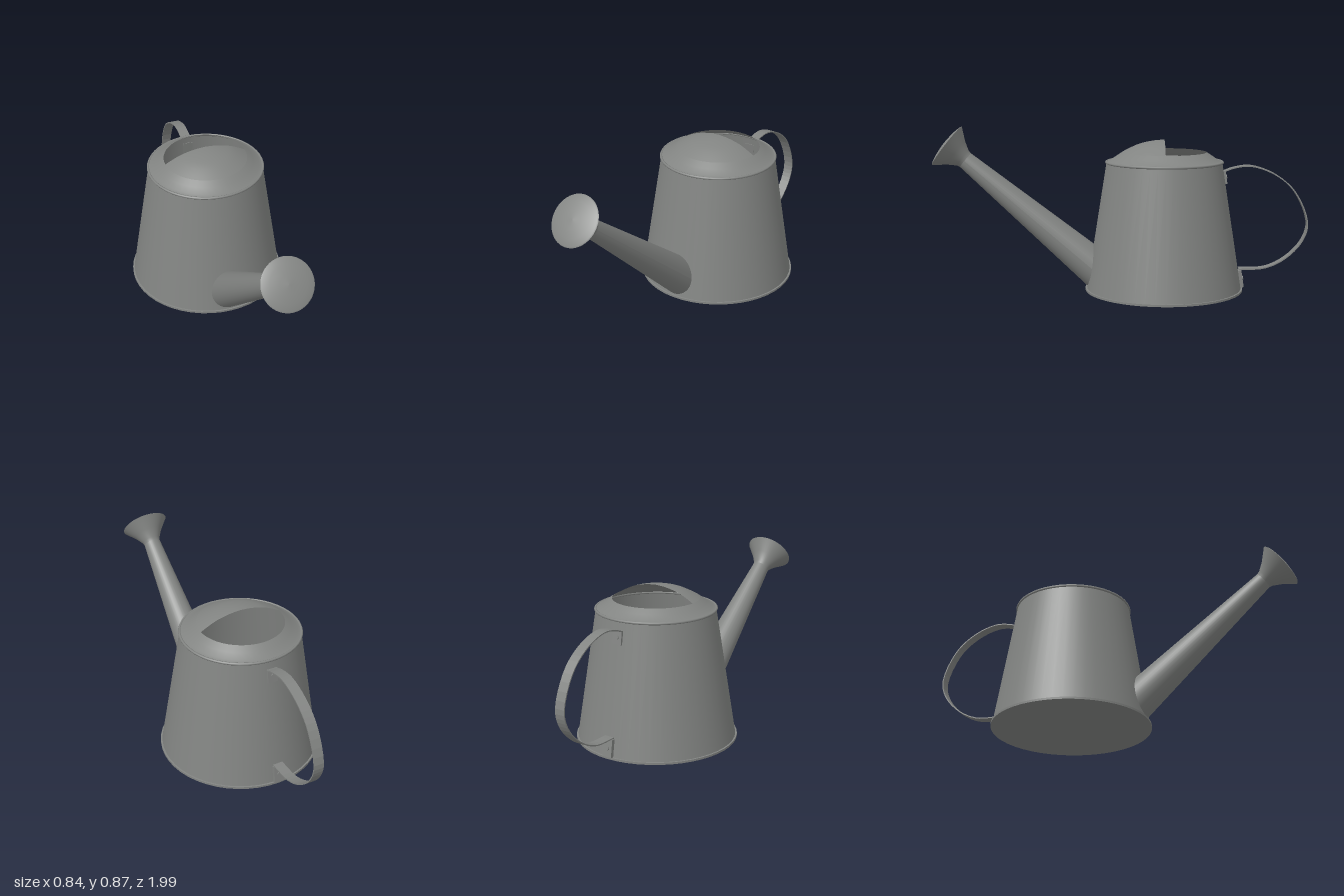
import * as THREE from 'three';

const V2 = (x, y) => new THREE.Vector2(x, y);
const V3 = (x, y, z) => new THREE.Vector3(x, y, z);
const CENTER_Z = -0.235;
const SEG = 48;
// outer radius of the tapered wall at a given height
const wallRadius = (y) => 0.412 - 0.157 * y;
const wallTilt = Math.atan(0.157);

export function createModel() {
  const group = new THREE.Group();
  const metal = new THREE.MeshStandardMaterial({ color: 0x828482, side: THREE.DoubleSide });
  metal.name = 'grey metal';

  const add = (name, geometry, parent = group) => {
    const mesh = new THREE.Mesh(geometry, metal);
    mesh.name = name;
    parent.add(mesh);
    return mesh;
  };

  // tapered can
  const can = new THREE.Group();
  can.name = 'can';
  can.position.z = CENTER_Z;
  group.add(can);
  add('wall', new THREE.CylinderGeometry(wallRadius(0.68), wallRadius(0.005), 0.675, SEG, 1, true), can).position.y = 0.3425;
  add('baseRim', new THREE.CylinderGeometry(0.419, 0.419, 0.011, SEG), can).position.y = 0.0055;
  const rim = add('topRim', new THREE.TorusGeometry(0.306, 0.007, 8, SEG), can);
  rim.rotation.x = Math.PI / 2;
  rim.position.y = 0.682;

  // sloping collar all round, with a half dome over the front
  add('collar', new THREE.LatheGeometry(
    [V2(0.306, 0.685), V2(0.285, 0.692), V2(0.255, 0.713), V2(0.222, 0.735)], SEG), can);
  const dome = new THREE.SplineCurve(
    [V2(0.222, 0.735), V2(0.18, 0.757), V2(0.13, 0.778), V2(0.06, 0.794), V2(0, 0.799)]);
  add('frontDome', new THREE.LatheGeometry(dome.getPoints(12), SEG / 2, -Math.PI / 2, Math.PI), can);

  // spout: a tapered tube whose lower end is trimmed to the can wall
  const neck = V3(0, 0.695, 0.821);
  const root = V3(0, 0.142, 0.165);
  const axis = neck.clone().sub(root).normalize();
  const up = V3(1, 0, 0).cross(axis).negate();
  const sides = 32;
  const positions = [], index = [];
  for (let i = 0; i <= sides; i++) {
    const a = (i / sides) * Math.PI * 2;
    const radial = V3(Math.cos(a), 0, 0).addScaledVector(up, Math.sin(a));
    const top = neck.clone().addScaledVector(radial, 0.046);
    const low = root.clone().addScaledVector(axis, -0.2).addScaledVector(radial, 0.108);
    let inside = 0, outside = 1;
    for (let k = 0; k < 30; k++) {
      const t = (inside + outside) / 2;
      const p = low.clone().lerp(top, t);
      if (Math.hypot(p.x, p.z - CENTER_Z) < wallRadius(p.y)) inside = t;
      else outside = t;
    }
    const foot = low.clone().lerp(top, inside);
    positions.push(...foot.toArray(), ...top.toArray());
    if (i < sides) {
      const b = i * 2;
      index.push(b, b + 1, b + 2, b + 1, b + 3, b + 2);
    }
  }
  // keep the faces pointing outwards
  if (V3(1, 0, 0).cross(up).dot(axis) > 0) {
    for (let i = 0; i < index.length; i += 3) [index[i + 1], index[i + 2]] = [index[i + 2], index[i + 1]];
  }
  const spout = new THREE.BufferGeometry();
  spout.setAttribute('position', new THREE.Float32BufferAttribute(positions, 3));
  spout.setIndex(index);
  spout.computeVertexNormals();
  add('spout', spout);

  // sprinkler head: flared cone closed by a shallow domed face
  const head = new THREE.Group();
  head.name = 'sprinklerHead';
  head.position.copy(neck);
  head.quaternion.setFromUnitVectors(V3(0, 1, 0), V3(0, Math.sin(0.66), Math.cos(0.66)));
  group.add(head);
  add('headCone', new THREE.LatheGeometry(
    [V2(0.046, -0.01), V2(0.05, 0.01), V2(0.078, 0.055), V2(0.128, 0.115)], SEG), head);
  add('headFace', new THREE.LatheGeometry(
    [V2(0.128, 0.115), V2(0.122, 0.119), V2(0.09, 0.127), V2(0.045, 0.133), V2(0, 0.135)], SEG), head);

  // handle: a flat strap swept along a loop behind the can
  const loop = new THREE.CatmullRomCurve3([
    V3(0, 0.635, -0.545), V3(0, 0.655, -0.6), V3(0, 0.665, -0.69), V3(0, 0.62, -0.82),
    V3(0, 0.53, -0.925), V3(0, 0.36, -0.996), V3(0, 0.26, -0.968), V3(0, 0.165, -0.877),
    V3(0, 0.115, -0.77), V3(0, 0.108, -0.635)]);
  const outline = loop.getPoints(40);
  const inner = outline.map((p, i) => {
    const t = loop.getTangent(i / 40);
    return V2(-p.z + t.y * 0.006, p.y + t.z * 0.006);
  });
  const strap = new THREE.Shape([...outline.map((p) => V2(-p.z, p.y)), ...inner.reverse()]);
  const strapGeometry = new THREE.ExtrudeGeometry(strap, { depth: 0.054, bevelEnabled: false });
  strapGeometry.translate(0, 0, -0.027);
  strapGeometry.rotateY(Math.PI / 2);
  add('handleStrap', strapGeometry);

  // tabs riveted to the back of the can
  for (const [name, y, height, depth] of [['upperTab', 0.603, 0.07, 0.012], ['lowerTab', 0.058, 0.092, 0.02]]) {
    const tab = new THREE.Group();
    tab.name = name;
    tab.position.set(0, y, CENTER_Z - wallRadius(y) - depth / 2 + 0.003);
    tab.rotation.x = wallTilt;
    group.add(tab);
    add('plate', new THREE.BoxGeometry(0.054, height, depth), tab);
    const rivet = add('rivet', new THREE.CylinderGeometry(0.011, 0.011, 0.006, 16), tab);
    rivet.rotation.x = Math.PI / 2;
    rivet.position.z = -depth / 2 - 0.002;
  }

  return group;
}
